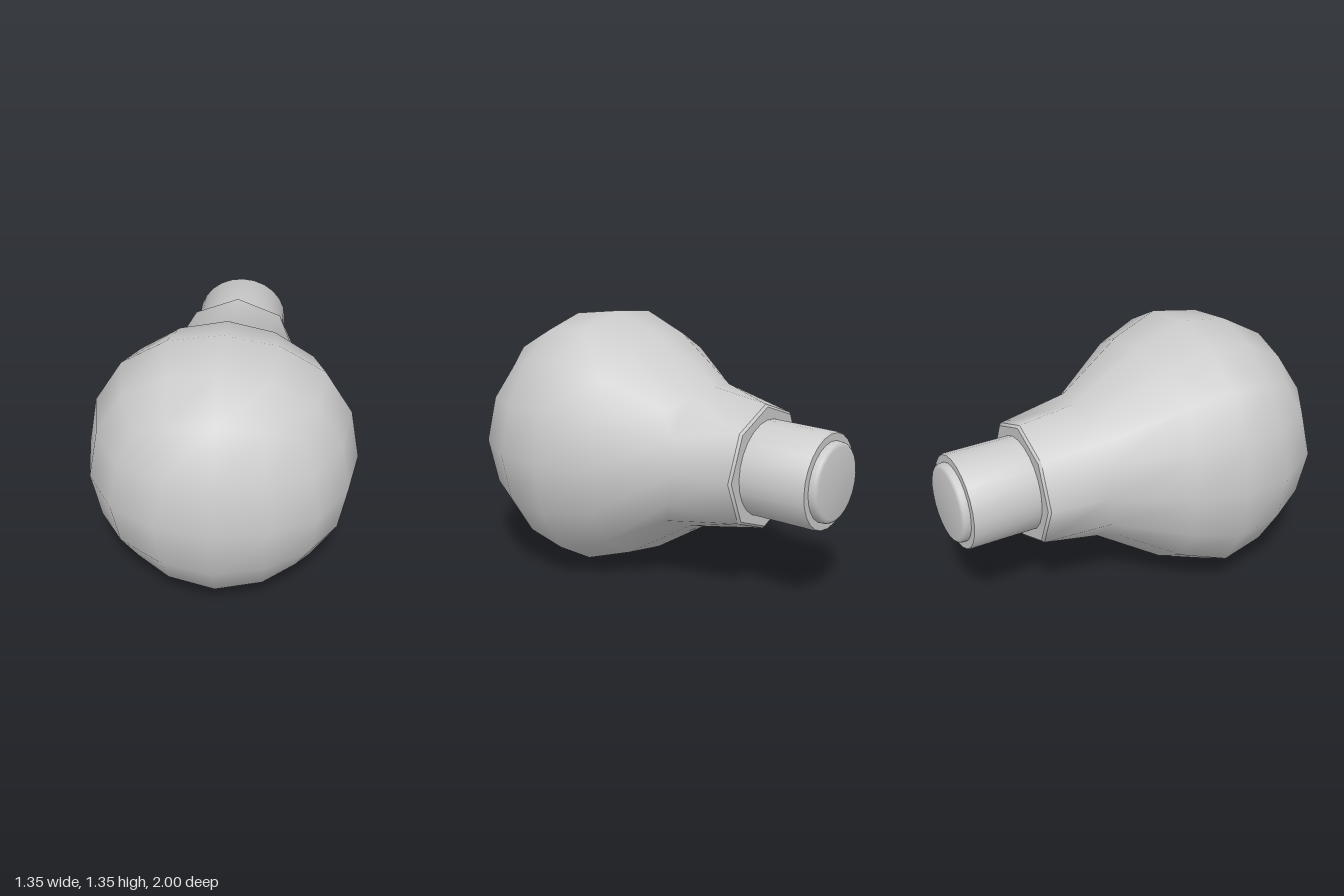
import * as THREE from 'three';
import { mergeVertices, toCreasedNormals } from 'three/addons/utils/BufferGeometryUtils.js';

const CENTRE_Y = 0.676, BULB_Z = 0.33, SCALE = 0.766;

// Smoothed-cube position for a lattice point of a 4x4x4 cube, keyed by its sorted steps (0..2).
const ROUNDED = {
  '002': [0, 0, 0.879], '012': [0, 0.35, 0.82], '112': [0, 0.326, 0.764],
  '022': [0, 0.643, 0.643], '122': [0, 0.302, 0.599], '222': [0, 0.509, 0.509],
};

function bulbGeometry() {
  const box = new THREE.BoxGeometry(4, 4, 4, 4, 4, 4);
  box.deleteAttribute('normal');
  box.deleteAttribute('uv');
  const geo = mergeVertices(box);
  const pos = geo.attributes.position;
  const neckRim = [];
  for (let i = 0; i < pos.count; i++) {
    const c = [pos.getX(i), pos.getY(i), pos.getZ(i)].map(Math.round);
    const row = ROUNDED[c.map(Math.abs).sort().join('')];
    let [x, y, z] = c.map(v => Math.sign(v) * row[Math.abs(v)] * SCALE);
    neckRim[i] = c[2] === -2 && Math.abs(c[0]) < 2 && Math.abs(c[1]) < 2;
    if (neckRim[i]) {
      // eight-sided end of the neck
      const a = Math.atan2(y, x);
      x = 0.325 * Math.cos(a);
      y = 0.325 * Math.sin(a);
      z = -0.59;
    } else if (c[2] === -2) {
      // start of the neck, pulled in and back
      x *= 0.735;
      y *= 0.735;
      z = -0.29 + (z + 0.643 * SCALE) * 0.9;
    } else {
      if (c[2] === -1) { x *= 0.933; y *= 0.933; }
      z += BULB_Z;
    }
    pos.setXYZ(i, x, y, z);
  }
  // leave the neck open where the collar closes it
  const old = Array.from(geo.index.array), kept = [];
  for (let t = 0; t < old.length; t += 3) {
    const tri = old.slice(t, t + 3);
    if (!tri.every(i => neckRim[i])) kept.push(...tri);
  }
  geo.setIndex(kept);
  geo.computeVertexNormals();
  return geo;
}

// Turned part along the bulb's axis; profile points are [radius, distance behind the middle].
function turned(profile, sides) {
  const geo = new THREE.LatheGeometry(profile.map(p => new THREE.Vector2(...p)), sides);
  geo.rotateX(-Math.PI / 2);
  return toCreasedNormals(geo, 0.65);
}

export function createModel() {
  const group = new THREE.Group();
  const material = new THREE.MeshStandardMaterial({ color: 0xcccccc });
  const add = (name, geometry) => {
    const mesh = new THREE.Mesh(geometry, material);
    mesh.name = name;
    mesh.position.y = CENTRE_Y;
    group.add(mesh);
  };

  add('bulb', bulbGeometry());
  // bevelled end of the neck
  add('neckCollar', turned([[0.325, 0.59], [0.312, 0.602], [0, 0.602]], 8));
  add('socketCap', turned([[0.245, 0.58], [0.245, 0.95], [0.24, 0.958], [0, 0.958]], 24));
  // contact with a rounded rim
  const rim = [0, 1, 2, 3].map(i => {
    const a = i * Math.PI / 6;
    return [0.18 + 0.022 * Math.cos(a), 0.978 + 0.022 * Math.sin(a)];
  });
  add('contactTip', turned([[0.202, 0.95], ...rim, [0, 1]], 24));
  return group;
}
